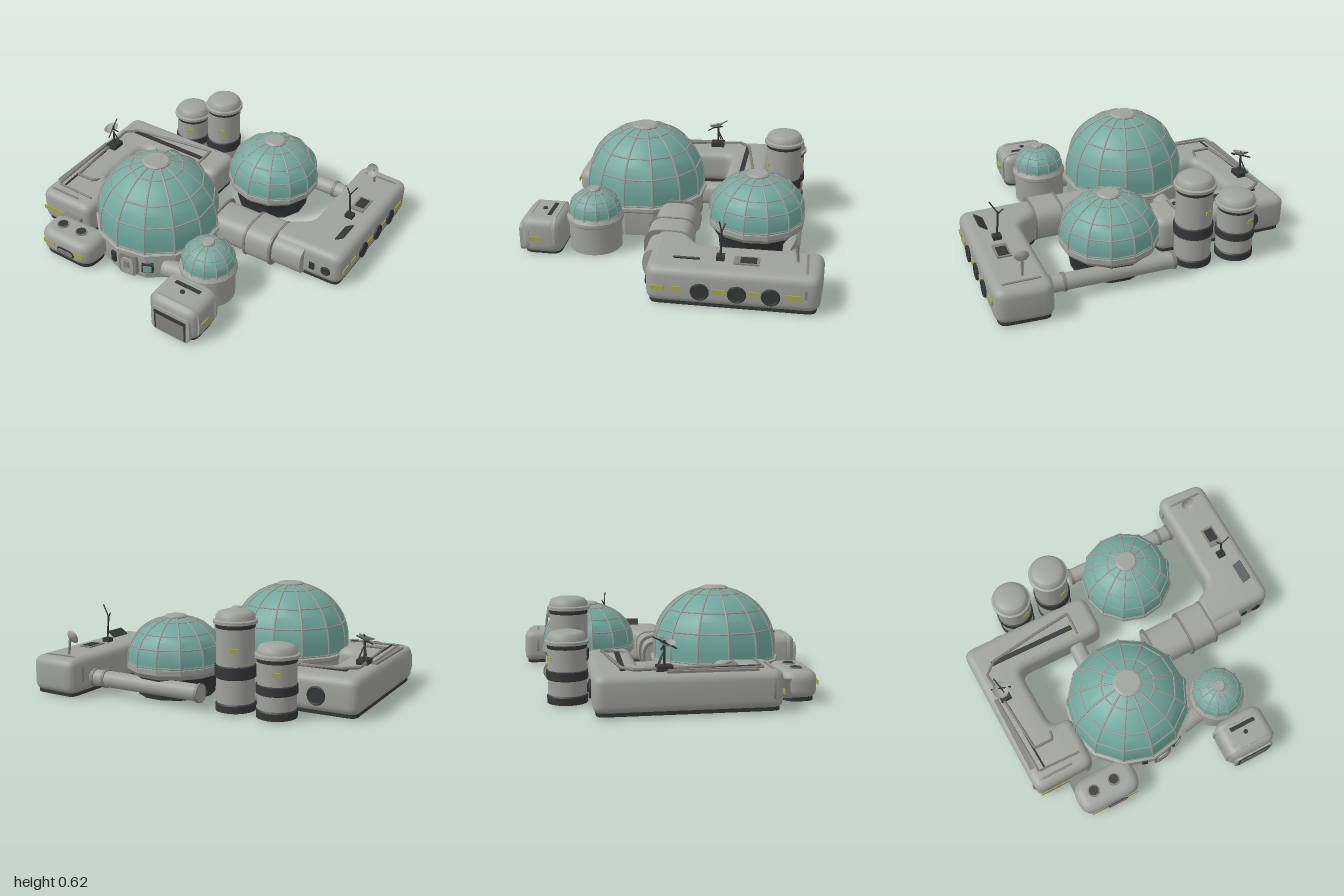
import * as THREE from 'three';
import { toCreasedNormals } from 'three/addons/utils/BufferGeometryUtils.js';

const paint = (name, color, side = THREE.FrontSide) => {
  const m = new THREE.MeshStandardMaterial({ color, side });
  m.name = name;
  return m;
};
const hull = paint('hull grey', 0x9fa19b, THREE.DoubleSide);
const frame = paint('frame grey', 0x82817c);
const ribGrey = paint('rib grey', 0xa09c96);
const dark = paint('charcoal', 0x353638, THREE.DoubleSide);
const glass = paint('teal glass', 0x70a89e, THREE.DoubleSide);
const yellow = paint('stripe yellow', 0xa8a745);

export function createModel() {
  const root = new THREE.Group();
  root.name = 'domeBase';
  const V = (p) => new THREE.Vector3(...p);

  function add(name, geo, mat, pos = [0, 0, 0], ry = 0, parent = root) {
    const m = new THREE.Mesh(geo, mat);
    m.name = name;
    m.position.set(...pos);
    m.rotation.y = ry;
    parent.add(m);
    return m;
  }
  const box = (name, mat, size, pos, ry = 0) => add(name, new THREE.BoxGeometry(...size), mat, pos, ry);
  const lathe = (name, mat, pts, segs, pos, crease = 0.4, parent = root) => add(name,
    toCreasedNormals(new THREE.LatheGeometry(pts.map((p) => new THREE.Vector2(...p)), segs), crease), mat, pos, 0, parent);

  // Straight round bar between two points
  function rod(name, mat, a, b, r, segs = 6, parent = root) {
    const d = V(b).sub(V(a));
    const m = add(name, new THREE.CylinderGeometry(r, r, d.length(), segs), mat, [0, 0, 0], 0, parent);
    m.position.copy(V(a)).addScaledVector(d, 0.5);
    m.quaternion.setFromUnitVectors(new THREE.Vector3(0, 1, 0), d.normalize());
    return m;
  }
  const pipe = (name, mat, pts, r) => pts.slice(1).forEach((p, i) => rod(name, mat, pts[i], p, r));

  // Polygon with rounded corners
  function roundPoly(pts, r) {
    const s = new THREE.Shape(), n = pts.length;
    pts.forEach((p, i) => {
      const c = new THREE.Vector2(...p);
      const toward = (q) => {
        const d = new THREE.Vector2(...q).sub(c), l = d.length();
        return c.clone().addScaledVector(d, Math.min(r, l * 0.45) / l);
      };
      const a = toward(pts[(i + n - 1) % n]), b = toward(pts[(i + 1) % n]);
      if (i) s.lineTo(a.x, a.y); else s.moveTo(a.x, a.y);
      s.quadraticCurveTo(c.x, c.y, b.x, b.y);
    });
    s.closePath();
    return s;
  }

  // Soft-edged building from a floor plan, with a dark skirt underneath
  function building(name, plan, y0, y1, bevel = 0.05, corner = 0.07) {
    const shape = roundPoly(plan.map(([x, z]) => [x, -z]), corner);
    const body = new THREE.ExtrudeGeometry(shape, { depth: y1 - y0 - 2 * bevel, bevelSize: bevel,
      bevelThickness: bevel, bevelOffset: -bevel, bevelSegments: 6, curveSegments: 6 });
    body.rotateX(-Math.PI / 2).translate(0, y0 + bevel, 0);
    add(name, toCreasedNormals(body, 0.7), hull);
    const skirt = new THREE.ExtrudeGeometry(shape, { depth: 0.022, bevelSize: 0, bevelThickness: 0.004,
      bevelOffset: -0.018, bevelSegments: 1, curveSegments: 6 });
    skirt.rotateX(-Math.PI / 2).translate(0, 0.015, 0);
    add(name + 'Skirt', skirt, dark);
  }

  // Rounded rectangular collar, extruded along its own z
  function collar(name, mat, x, z, w, y0, y1, depth, ry, r = 0.09) {
    const s = roundPoly([[-w / 2, y0], [w / 2, y0], [w / 2, y1], [-w / 2, y1]], r);
    const g = new THREE.ExtrudeGeometry(s, { depth, bevelEnabled: false, curveSegments: 6 });
    add(name, toCreasedNormals(g.translate(0, 0, -depth / 2), 0.7), mat, [x, 0, z], ry);
  }

  // Round window: raised ring and dark pane, facing along angle ry from +z
  function porthole(x, y, z, ry, r = 0.044) {
    const g = new THREE.Group();
    g.name = 'porthole';
    g.position.set(x, y, z);
    g.rotation.y = ry;
    root.add(g);
    add('portholeRing', new THREE.TorusGeometry(r, 0.008, 6, 20), dark, [0, 0, 0.004], 0, g);
    add('portholePane', new THREE.CylinderGeometry(r, r, 0.016, 20).rotateX(Math.PI / 2), dark, [0, 0, 0], 0, g);
  }

  // Thirteen-sided glass dome with ribs, rings and a roof disc
  const SIDES = 13;
  function dome(name, x, z, R, y0, H, yLow, disc, rib) {
    const g = new THREE.Group();
    g.name = name;
    g.position.set(x, 0, z);
    root.add(g);
    const end = Math.acos(disc / R), at = (t) => [R * Math.cos(t), y0 + H * Math.sin(t)];
    const pts = [[R, yLow]];
    for (let i = 0; i <= 10; i++) pts.push(at(end * i / 10));
    lathe('glass', glass, pts, SIDES, [0, 0, 0], 0.4, g);
    const curve = new THREE.CatmullRomCurve3(pts.map(([r, y]) => new THREE.Vector3(0, y, r)));
    const ribGeo = new THREE.TubeGeometry(curve, 18, rib, 6);
    const rings = [[R, yLow + 0.01], at(end * 0.25), at(end * 0.52), at(end * 0.84)];
    for (let i = 0; i < SIDES; i++) {
      const a = i * 2 * Math.PI / SIDES, b = a + 2 * Math.PI / SIDES;
      add('rib', ribGeo, ribGrey, [0, 0, 0], a, g);
      rings.forEach(([r, y]) => rod('ringRib', ribGrey, [r * Math.sin(a), y, r * Math.cos(a)],
        [r * Math.sin(b), y, r * Math.cos(b)], rib * 0.8, 6, g));
    }
    const top = at(end)[1];
    lathe('roofDisc', hull, [[disc, top - 0.012], [disc, top + 0.008], [disc * 0.85, top + 0.016], [0, top + 0.016]], 24, [0, 0, 0], 0.5, g);
  }

  // Main dome
  dome('mainDome', -0.155, 0.31, 0.378, 0.25, 0.365, 0.19, 0.085, 0.0065);
  lathe('mainDomeWall', hull, [[0.37, 0], [0.375, 0.03], [0.375, 0.155], [0.395, 0.17], [0.395, 0.19], [0.365, 0.2]], SIDES, [-0.155, 0, 0.31]);
  // Rear dome with a tapered dark foot
  dome('rearDome', 0.18, -0.47, 0.29, 0.245, 0.235, 0.21, 0.068, 0.0055);
  lathe('rearDomeRim', hull, [[0.27, 0.15], [0.295, 0.18], [0.295, 0.21], [0.275, 0.22]], SIDES, [0.18, 0, -0.47]);
  lathe('rearDomeFoot', dark, [[0.2, 0.02], [0.23, 0.02], [0.24, 0.1], [0.275, 0.16]], SIDES, [0.18, 0, -0.47]);
  // Small dome on a drum
  dome('smallDome', 0.38, 0.49, 0.158, 0.25, 0.125, 0.225, 0.037, 0.004);
  lathe('smallDomeDrum', hull, [[0.16, 0.01], [0.16, 0.18], [0.172, 0.19], [0.172, 0.21], [0.155, 0.235]], 24, [0.38, 0, 0.49]);

  // Airlock door and wall fittings on the main dome
  collar('airlockFrame', frame, -0.085, 0.672, 0.12, 0.015, 0.165, 0.04, 0.2, 0.03);
  collar('airlockDoor', hull, -0.083, 0.685, 0.085, 0.025, 0.145, 0.03, 0.2, 0.03);
  box('airlockWindow', frame, [0.035, 0.045, 0.008], [-0.08, 0.1, 0.702], 0.2);
  box('controlPanel', dark, [0.035, 0.07, 0.03], [-0.2, 0.09, 0.675], -0.2);
  box('screenFrame', dark, [0.07, 0.06, 0.03], [0.03, 0.09, 0.635], 0.52);
  box('screen', glass, [0.052, 0.042, 0.008], [0.039, 0.09, 0.65], 0.52);

  // C-shaped wing
  building('leftWing', [[-0.995, -0.42], [-0.13, -0.475], [-0.11, -0.2], [-0.705, -0.165], [-0.655, 0.26],
    [-0.52, 0.25], [-0.5, 0.585], [-0.89, 0.615]], 0.02, 0.235);
  collar('wingBand', frame, -0.737, 0.545, 0.33, 0.03, 0.24, 0.014, 0.07);
  porthole(-0.75, 0.12, -0.436, Math.PI + 0.064, 0.048);
  box('frontStripe', yellow, [0.24, 0.028, 0.006], [-0.75, 0.112, 0.606], 0.077);
  box('roofTray', dark, [0.56, 0.01, 0.03], [-0.57, 0.238, -0.275], 0.05);
  box('roofTray', frame, [0.03, 0.012, 0.5], [-0.885, 0.238, 0.22], 0.09);
  pipe('roofPipe', frame, [[-0.27, 0.23, -0.23], [-0.28, 0.25, -0.38], [-0.5, 0.25, -0.34], [-0.83, 0.25, -0.27],
    [-0.9, 0.25, -0.2], [-0.86, 0.25, 0.02], [-0.8, 0.25, 0.36], [-0.68, 0.25, 0.35], [-0.67, 0.22, 0.27]], 0.009);
  pipe('roofPipe', frame, [[-0.9, 0.245, -0.02], [-0.83, 0.245, 0.5], [-0.56, 0.245, 0.49]], 0.007);
  pipe('roofPipe', dark, [[-0.85, 0.245, 0.05], [-0.79, 0.245, 0.5]], 0.006);
  // Communication masts on the wing
  box('mastFoot', dark, [0.07, 0.03, 0.09], [-0.85, 0.25, -0.04], 0.1);
  rod('mast', dark, [-0.85, 0.24, -0.04], [-0.85, 0.4, -0.04], 0.007);
  rod('mastArm', dark, [-0.91, 0.36, -0.06], [-0.79, 0.39, -0.02], 0.005);
  rod('mastArm', dark, [-0.87, 0.42, -0.1], [-0.83, 0.35, 0.03], 0.004);
  [-0.89, -0.82].forEach((x) => rod('mastBrace', dark, [x, 0.24, -0.08], [-0.85, 0.35, -0.04], 0.004));

  // Dish antennas
  const dishPts = [[0, 0], [0.02, 0.004], [0.038, 0.014], [0.046, 0.024]];
  const dish = (x, y, z, rx, rz, s) => {
    const m = lathe('dish', hull, dishPts, 18, [x, y, z], 1);
    m.rotation.set(rx, 0, rz);
    m.scale.setScalar(s);
  };
  dish(-0.85, 0.37, -0.03, 0.25, 0.2, 1.1);
  dish(0.755, 0.33, -0.77, 1.2, 0.1, 0.95);
  rod('dishMast', frame, [0.76, 0.23, -0.78], [0.755, 0.335, -0.77], 0.008);

  // Front-left pod, joined to the wing
  building('frontPod', [[-0.695, 0.64], [-0.29, 0.6], [-0.28, 0.83], [-0.675, 0.855]], 0.02, 0.185, 0.055, 0.1);
  box('podLink', frame, [0.13, 0.11, 0.14], [-0.62, 0.09, 0.62], 0.07);
  [[-0.57, 0.735], [-0.43, 0.72]].forEach(([x, z]) => {
    add('podHatch', new THREE.CylinderGeometry(0.038, 0.042, 0.02, 18), frame, [x, 0.182, z]);
    add('podHatchPane', new THREE.CylinderGeometry(0.03, 0.03, 0.008, 18), dark, [x, 0.191, z]);
  });
  [[-0.585, 0.85], [-0.36, 0.836]].forEach(([x, z]) => box('podStripe', yellow, [0.09, 0.026, 0.006], [x, 0.112, z], 0.063));
  collar('podWindow', dark, -0.455, 0.842, 0.13, 0.07, 0.115, 0.012, 0.063, 0.02);
  collar('podWindowShade', frame, -0.455, 0.845, 0.115, 0.077, 0.108, 0.012, 0.063, 0.015);

  // Long right wing
  building('rightWing', [[0.605, -0.92], [0.935, -0.92], [0.995, 0.02], [0.52, 0.06], [0.52, -0.12], [0.655, -0.21]], 0.02, 0.235);
  collar('wingBand', frame, 0.775, -0.835, 0.332, 0.03, 0.24, 0.014, 0.064);
  const sideX = (z) => 0.937 + (z + 0.92) * 0.064;
  [-0.28, -0.48, -0.66].forEach((z) => porthole(sideX(z), 0.11, z, Math.PI / 2 + 0.064));
  [[-0.05, 0.07], [-0.15, 0.06], [-0.38, 0.07], [-0.57, 0.06], [-0.78, 0.09]].forEach(([z, l]) =>
    box('sideStripe', yellow, [0.006, 0.026, l], [sideX(z), 0.117, z], 0.064));
  porthole(0.9, 0.11, 0.026, 0.08, 0.024);
  box('endPanel', dark, [0.035, 0.05, 0.008], [0.81, 0.11, 0.037], 0.08);
  box('roofHatch', frame, [0.085, 0.014, 0.14], [0.82, 0.236, -0.51], 0.064);
  box('roofHatchPane', dark, [0.06, 0.008, 0.09], [0.82, 0.243, -0.52], 0.064);
  box('antennaFoot', dark, [0.05, 0.03, 0.045], [0.82, 0.245, -0.365], 0.064);
  rod('antenna', dark, [0.82, 0.24, -0.365], [0.805, 0.41, -0.365], 0.006);
  rod('antennaTip', dark, [0.805, 0.4, -0.365], [0.85, 0.475, -0.36], 0.004);
  rod('antennaTip', dark, [0.81, 0.39, -0.365], [0.775, 0.43, -0.38], 0.004);
  box('solarPanel', dark, [0.06, 0.008, 0.14], [0.885, 0.258, -0.19], 0.064).rotation.z = 0.6;

  // Passage between the domes and the right wing
  const along = Math.PI / 2 + 0.07;
  collar('passage', hull, 0.27, 0.015, 0.25, 0.02, 0.22, 0.3, along);
  collar('passageSleeve', hull, 0.46, 0.0, 0.275, 0.015, 0.23, 0.17, along);
  collar('passageEnd', hull, 0.645, -0.015, 0.235, 0.025, 0.215, 0.21, along);
  [[0.135, 0.025], [0.375, 0.01], [0.55, -0.005]].forEach(([x, z]) =>
    collar('passageBand', frame, x, z, 0.282, 0.012, 0.235, 0.014, along));
  collar('wingLink', hull, -0.295, -0.13, 0.1, 0.04, 0.18, 0.22, 0.03, 0.05);
  rod('smallDomeLink', hull, [0.1, 0.08, 0.56], [0.32, 0.08, 0.51], 0.055, 18);

  // Rear pipe
  rod('rearPipe', hull, [-0.15, 0.1, -0.68], [0.64, 0.1, -0.72], 0.05, 18);
  [-0.14, 0.52, 0.6].forEach((x) => {
    const z = -0.68 - (x + 0.15) * 0.05;
    rod('rearPipeBand', frame, [x - 0.01, 0.1, z], [x + 0.01, 0.1, z - 0.001], 0.056, 18);
  });

  // Storage tanks
  [[-0.58, 0.42], [-0.31, 0.58]].forEach(([x, h]) => {
    const p = [x, 0, -0.57], n = 28;
    lathe('tankFoot', dark, [[0, 0.01], [0.115, 0.01], [0.115, 0.05], [0.105, 0.06]], n, p);
    lathe('tankBody', hull, [[0.105, 0.05], [0.11, 0.06], [0.11, h - 0.09]], n, p);
    lathe('tankCollar', dark, [[0.11, h - 0.1], [0.113, h - 0.09], [0.113, h - 0.074]], n, p);
    lathe('tankCap', hull, [[0.1, h - 0.08], [0.125, h - 0.075], [0.125, h - 0.058], [0.113, h - 0.052], [0.11, h - 0.03],
      [0.095, h - 0.012], [0.06, h - 0.002], [0, h]], n, p, 0.6);
    lathe('tankBelt', dark, [[0.11, h * 0.34], [0.118, h * 0.35], [0.118, h * 0.46], [0.11, h * 0.47]], n, p);
    [0, Math.PI].forEach((a) => box('tankMark', yellow, [0.045, 0.022, 0.008],
      [x + 0.109 * Math.sin(a + 0.5), h * 0.63, -0.57 + 0.109 * Math.cos(a + 0.5)], a + 0.5));
  });

  // Entrance garage
  building('garage', [[0.262, 0.665], [0.585, 0.64], [0.6, 0.9], [0.275, 0.92]], 0.01, 0.24, 0.055, 0.08);
  [[0.425, 0.7], [0.435, 0.86]].forEach(([x, z]) => collar('garageRib', hull, x, z, 0.335, 0.012, 0.245, 0.02, 0.065));
  collar('garageFrame', hull, 0.44, 0.9, 0.26, 0.01, 0.185, 0.04, 0.065, 0.04);
  box('garageDoorway', dark, [0.215, 0.145, 0.008], [0.441, 0.09, 0.918], 0.065);
  box('garageDoor', frame, [0.19, 0.115, 0.006], [0.441, 0.077, 0.921], 0.065);
  box('garageStripe', yellow, [0.006, 0.026, 0.07], [0.597, 0.115, 0.8], 0.065);
  box('garageVent', dark, [0.17, 0.01, 0.025], [0.43, 0.238, 0.74], 0.065);
  add('garageCap', new THREE.CylinderGeometry(0.014, 0.014, 0.015, 12), dark, [0.43, 0.241, 0.79]);

  return root;
}
